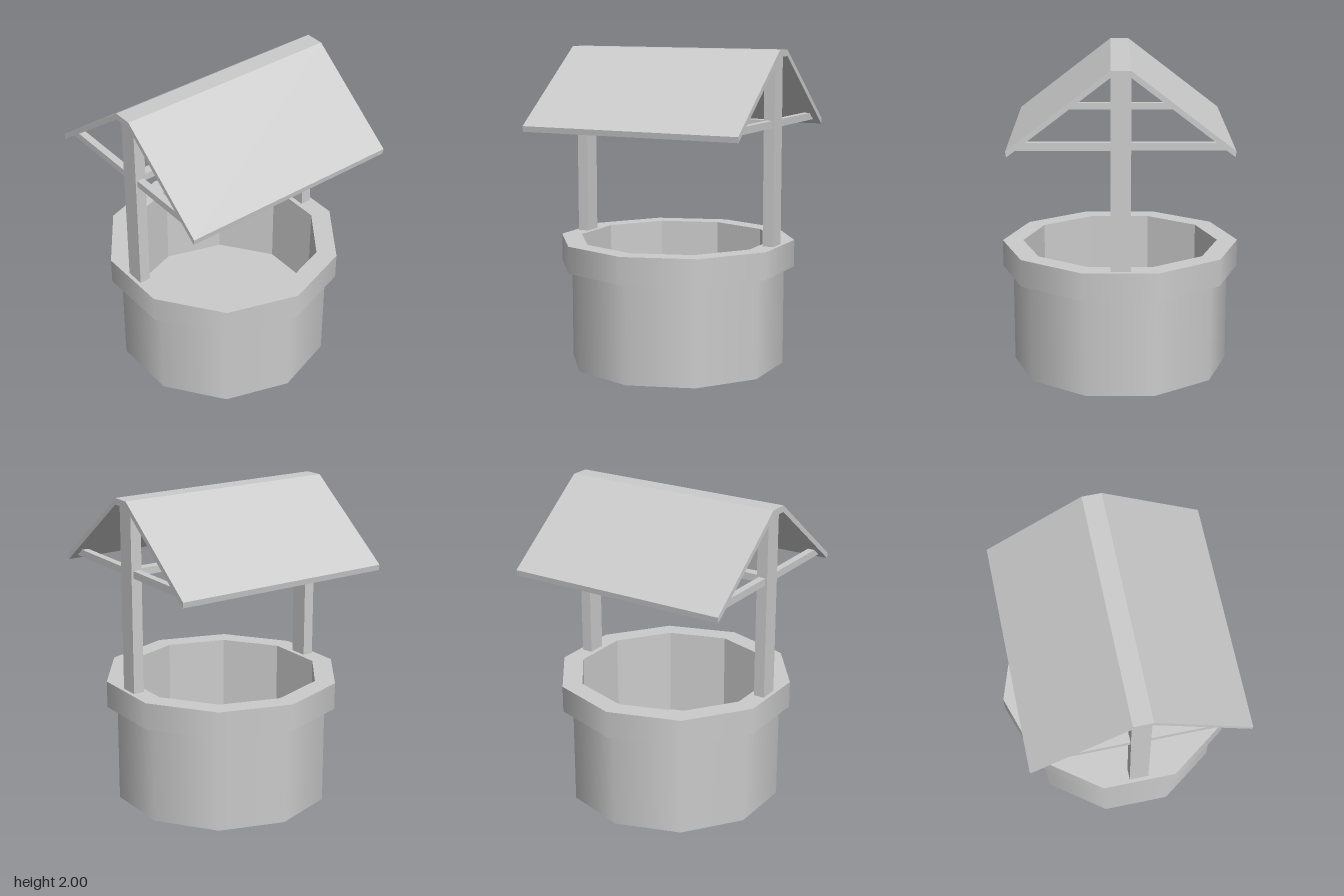
import * as THREE from 'three';

const smooth = new THREE.MeshStandardMaterial({ color: 0xcccccc });
const flat = new THREE.MeshStandardMaterial({ color: 0xcccccc, flatShading: true });

function add(parent, name, geometry, material = flat) {
  const mesh = new THREE.Mesh(geometry, material);
  mesh.name = name;
  parent.add(mesh);
  return mesh;
}

function box(parent, name, size, position) {
  return add(parent, name, new THREE.BoxGeometry(...size)).position.set(...position);
}

// One ten-sided ring between two [radius, y] points, a corner facing the front
function band(parent, name, a, b, material = flat) {
  const points = [new THREE.Vector2(...a), new THREE.Vector2(...b)];
  return add(parent, name, new THREE.LatheGeometry(points, 10), material);
}

// Extrudes a [z, y] outline along x, centred on x = 0
function extrudeX(outline, width) {
  const shape = new THREE.Shape(outline.map(([z, y]) => new THREE.Vector2(-z, y)));
  const geometry = new THREE.ExtrudeGeometry(shape, { depth: width, bevelEnabled: false });
  return geometry.translate(0, 0, -width / 2).rotateY(Math.PI / 2);
}

export function createModel() {
  const well = new THREE.Group();
  well.name = 'well';

  // Basin: smooth outside, faceted inside
  const basin = new THREE.Group();
  basin.name = 'basin';
  well.add(basin);
  band(basin, 'underside', [0, 0], [0.685, 0]);
  band(basin, 'outerWall', [0.685, 0], [0.685, 0.63], smooth);
  band(basin, 'rimUnderside', [0.685, 0.63], [0.75, 0.63]);
  band(basin, 'rimSide', [0.75, 0.63], [0.75, 0.8], smooth);
  band(basin, 'rimTop', [0.75, 0.8], [0.62, 0.8]);
  band(basin, 'innerWall', [0.62, 0.8], [0.62, 0.22]);
  band(basin, 'basinFloor', [0.62, 0.22], [0, 0.22]);

  // Posts and the tie beams that reach the roof slopes
  const tie = extrudeX([[0.621, 1.53], [0.562, 1.575], [-0.562, 1.575], [-0.621, 1.53]], 0.045);
  for (const side of [-1, 1]) {
    box(well, 'post', [0.07, 1.17, 0.12], [side * 0.655, 1.375, 0]);
    add(well, 'tieBeam', tie).position.x = side * 0.655;
  }

  // Crossbeam with the small hanging bracket
  box(well, 'crossbeam', [1.25, 0.045, 0.06], [0, 1.5525, 0]);
  const bracket = new THREE.Group();
  bracket.name = 'bracket';
  well.add(bracket);
  box(bracket, 'bracketBar', [0.2, 0.035, 0.06], [0, 1.4575, 0]);
  for (const side of [-1, 1]) {
    box(bracket, 'bracketArm', [0.035, 0.06, 0.06], [side * 0.0825, 1.504, 0]);
  }

  // Gabled roof with a flat ridge
  const half = [[0.06, 2], [0.665, 1.535], [0.66, 1.5], [0.06, 1.96]];
  const mirrored = half.map(([z, y]) => [-z, y]).reverse();
  add(well, 'roof', extrudeX([...half, ...mirrored], 1.44));

  return well;
}
